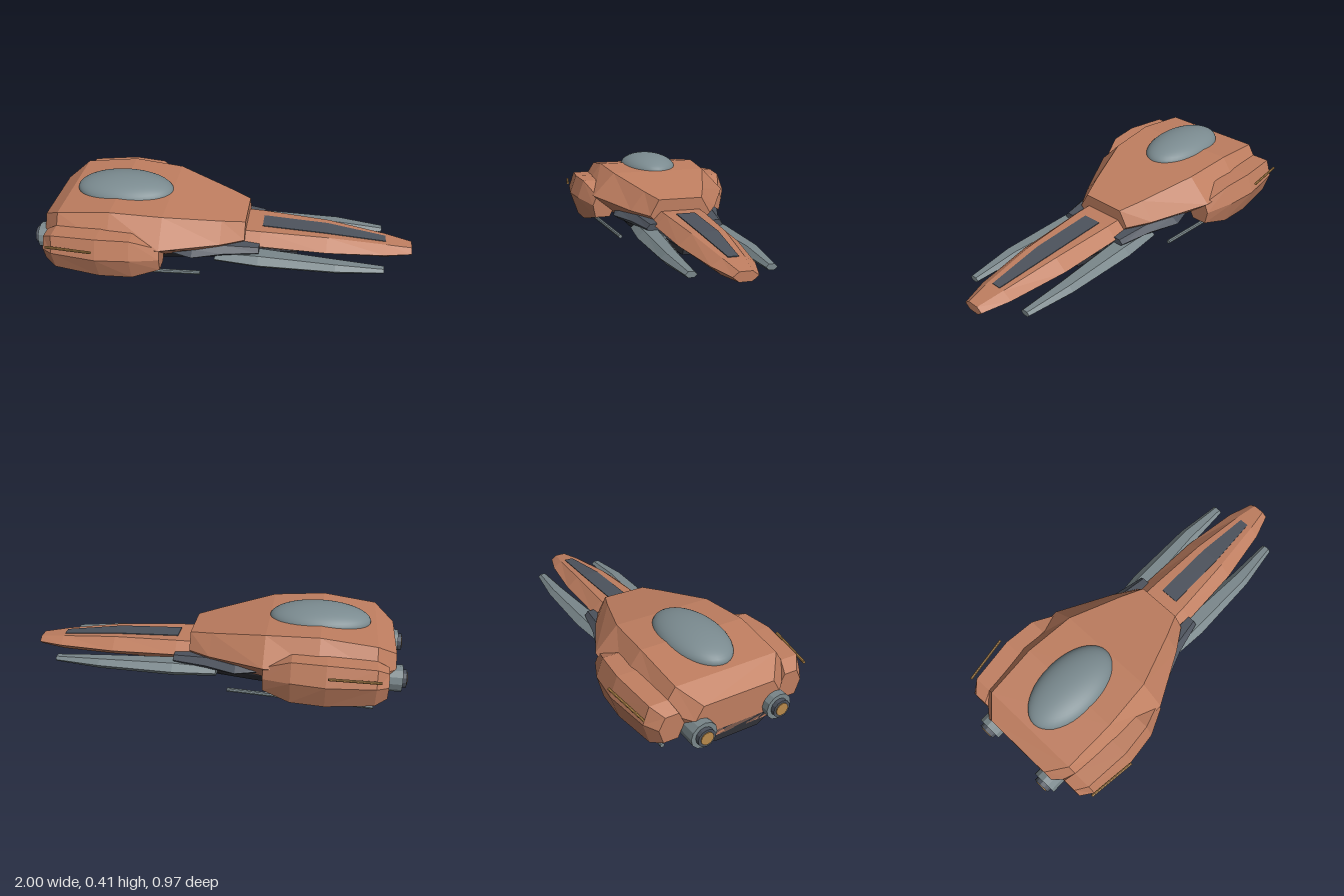
import * as THREE from 'three';

const mat = (name, color, flat = true) => {
  const m = new THREE.MeshStandardMaterial({ color, flatShading: flat });
  m.name = name;
  return m;
};

// Joins rings of [z, y] points, listed from the top towards +z, along x. side = -1 mirrors in z.
function loft(sections, side = 1) {
  const n = sections[0].ring.length, pos = [], idx = [];
  sections.forEach(s => s.ring.forEach(([z, y]) => pos.push(s.x, y, z * side)));
  const tri = (a, b, c) => (side > 0 ? idx.push(a, b, c) : idx.push(a, c, b));
  for (let i = 0; i < sections.length - 1; i++)
    for (let j = 0; j < n; j++) {
      const k = (j + 1) % n, a = i * n + j, b = i * n + k;
      tri(a, b, b + n);
      tri(a, b + n, a + n);
    }
  const last = (sections.length - 1) * n;
  for (let j = 1; j < n - 1; j++) {
    tri(0, j + 1, j);
    tri(last, last + j, last + j + 1);
  }
  const g = new THREE.BufferGeometry();
  g.setAttribute('position', new THREE.Float32BufferAttribute(pos, 3));
  g.setIndex(idx);
  const flat = g.toNonIndexed();
  flat.computeVertexNormals();
  return flat;
}

// Symmetric section from its +z half
const sym = (x, ...half) => ({ x, ring: [...half, ...half.slice().reverse().map(([z, y]) => [-z, y])] });

// Six-sided section: centre z and y, half width, half height, share of the width that is flat
const hex = (x, cz, cy, w, h, f = 0.5) => ({
  x,
  ring: [[cz + w * f, cy + h], [cz + w, cy], [cz + w * f, cy - h], [cz - w * f, cy - h], [cz - w, cy], [cz - w * f, cy + h]],
});

// Cylinder between two points
function rod(a, b, r, sides) {
  const p = new THREE.Vector3(...a), q = new THREE.Vector3(...b), d = q.clone().sub(p);
  const g = new THREE.CylinderGeometry(r, r, d.length(), sides);
  g.applyQuaternion(new THREE.Quaternion().setFromUnitVectors(new THREE.Vector3(0, 1, 0), d.normalize()));
  const c = p.add(q).multiplyScalar(0.5);
  return g.translate(c.x, c.y, c.z);
}

export function createModel() {
  const group = new THREE.Group();
  const copper = mat('copper hull', 0xbf7e60);
  const grey = mat('blue grey metal', 0x7a878b);
  const glass = mat('canopy glass', 0x7b8b90, false);
  const steel = mat('dark steel', 0x4d535d);
  const black = mat('black belly', 0x303137);
  const gold = mat('gold', 0xb88a4c);
  const add = (name, geo, m) => {
    const mesh = new THREE.Mesh(geo, m);
    mesh.name = name;
    group.add(mesh);
    return mesh;
  };

  // Main hull
  add('hull', loft([
    sym(-0.94, [0.19, 0.25], [0.23, 0.18], [0.17, 0.06]),
    sym(-0.84, [0.275, 0.32], [0.345, 0.21], [0.22, 0.07]),
    sym(-0.56, [0.285, 0.352], [0.39, 0.21], [0.25, 0.07]),
    sym(-0.29, [0.265, 0.335], [0.385, 0.21], [0.23, 0.08]),
    sym(0.0, [0.165, 0.275], [0.24, 0.175], [0.17, 0.1]),
    sym(0.12, [0.117, 0.25], [0.165, 0.165], [0.13, 0.13]),
  ]), copper);

  // Canopy dome
  const dome = new THREE.SphereGeometry(1, 40, 24);
  add('canopy', dome.scale(0.262, 0.08, 0.155).translate(-0.548, 0.329, 0), glass);

  // Long nose and its dark top strip
  add('nose', loft([
    sym(0.0, [0.107, 0.19], [0.165, 0.133], [0.075, 0.06]),
    sym(0.2, [0.104, 0.186], [0.163, 0.13], [0.075, 0.06]),
    sym(0.55, [0.085, 0.17], [0.15, 0.115], [0.07, 0.057]),
    sym(0.86, [0.052, 0.134], [0.104, 0.1], [0.055, 0.058]),
    sym(1.0, [0.03, 0.112], [0.06, 0.09], [0.03, 0.066]),
  ]), copper);
  add('noseStrip', loft([
    sym(0.205, [0.05, 0.19], [0.05, 0.182]),
    sym(0.55, [0.048, 0.174], [0.048, 0.166]),
    sym(0.86, [0.025, 0.138], [0.025, 0.13]),
  ]), steel);

  // Belly keel
  add('keel', loft([
    sym(-0.94, [0.17, 0.09], [0.16, 0.06], [0.12, 0.028]),
    sym(-0.82, [0.21, 0.09], [0.2, 0.055], [0.16, 0.013]),
    sym(-0.37, [0.21, 0.09], [0.2, 0.055], [0.165, 0.006]),
    sym(-0.1, [0.17, 0.09], [0.16, 0.055], [0.13, 0.01]),
    sym(0.4, [0.06, 0.06], [0.075, 0.055], [0.08, 0.026]),
  ]), black);

  for (const s of [1, -1]) {
    const side = s > 0 ? 'left' : 'right';

    // Side nacelle
    add(side + 'Nacelle', loft([
      { x: -0.9, ring: [[0.36, 0.225], [0.39, 0.165], [0.365, 0.09], [0.29, 0.09], [0.26, 0.165], [0.29, 0.225]] },
      { x: -0.84, ring: [[0.405, 0.263], [0.435, 0.175], [0.4, 0.065], [0.3, 0.065], [0.26, 0.17], [0.31, 0.263]] },
      { x: -0.6, ring: [[0.43, 0.28], [0.467, 0.178], [0.423, 0.05], [0.295, 0.05], [0.26, 0.17], [0.33, 0.28]] },
      { x: -0.43, ring: [[0.415, 0.275], [0.45, 0.178], [0.415, 0.052], [0.295, 0.052], [0.26, 0.17], [0.33, 0.275]] },
      { x: -0.29, ring: [[0.365, 0.208], [0.388, 0.155], [0.375, 0.085], [0.295, 0.085], [0.26, 0.15], [0.3, 0.208]] },
    ], s), copper);

    // Gold antenna on the nacelle
    add(side + 'Antenna', rod([-0.86, 0.217, s * 0.442], [-0.61, 0.235, s * 0.478], 0.007, 8), gold);

    // Long grey boom beside the nose
    add(side + 'Boom', loft([
      hex(-0.03, 0.185, 0.075, 0.05, 0.025),
      hex(0.2, 0.185, 0.075, 0.072, 0.035),
      hex(0.6, 0.2, 0.075, 0.05, 0.027),
      hex(0.85, 0.188, 0.07, 0.028, 0.014),
    ], s), grey);

    // Dark pod between hull and boom
    add(side + 'Pod', loft([
      hex(-0.28, 0.235, 0.128, 0.03, 0.012),
      hex(-0.14, 0.225, 0.125, 0.08, 0.026),
      hex(0.02, 0.18, 0.125, 0.068, 0.031),
      hex(0.2, 0.17, 0.12, 0.037, 0.022),
    ], s), steel);

    // Rear thruster: casing, nozzle and glowing core
    const at = (x0, x1, r) => rod([x0, 0.122, s * 0.205], [x1, 0.122, s * 0.205], r, 12);
    add(side + 'ThrusterCasing', at(-0.975, -0.72, 0.068), grey);
    add(side + 'ThrusterNozzle', at(-0.996, -0.95, 0.046), steel);
    add(side + 'ThrusterCore', at(-1.0, -0.99, 0.033), gold);

    // Landing skid and strut
    add(side + 'Skid', rod([-0.84, 0.018, s * 0.333], [-0.1, 0.012, s * 0.276], 0.011, 8), grey);
    add(side + 'Strut', rod([-0.62, 0.018, s * 0.316], [-0.6, 0.11, s * 0.25], 0.014, 6), steel);
  }
  return group;
}
